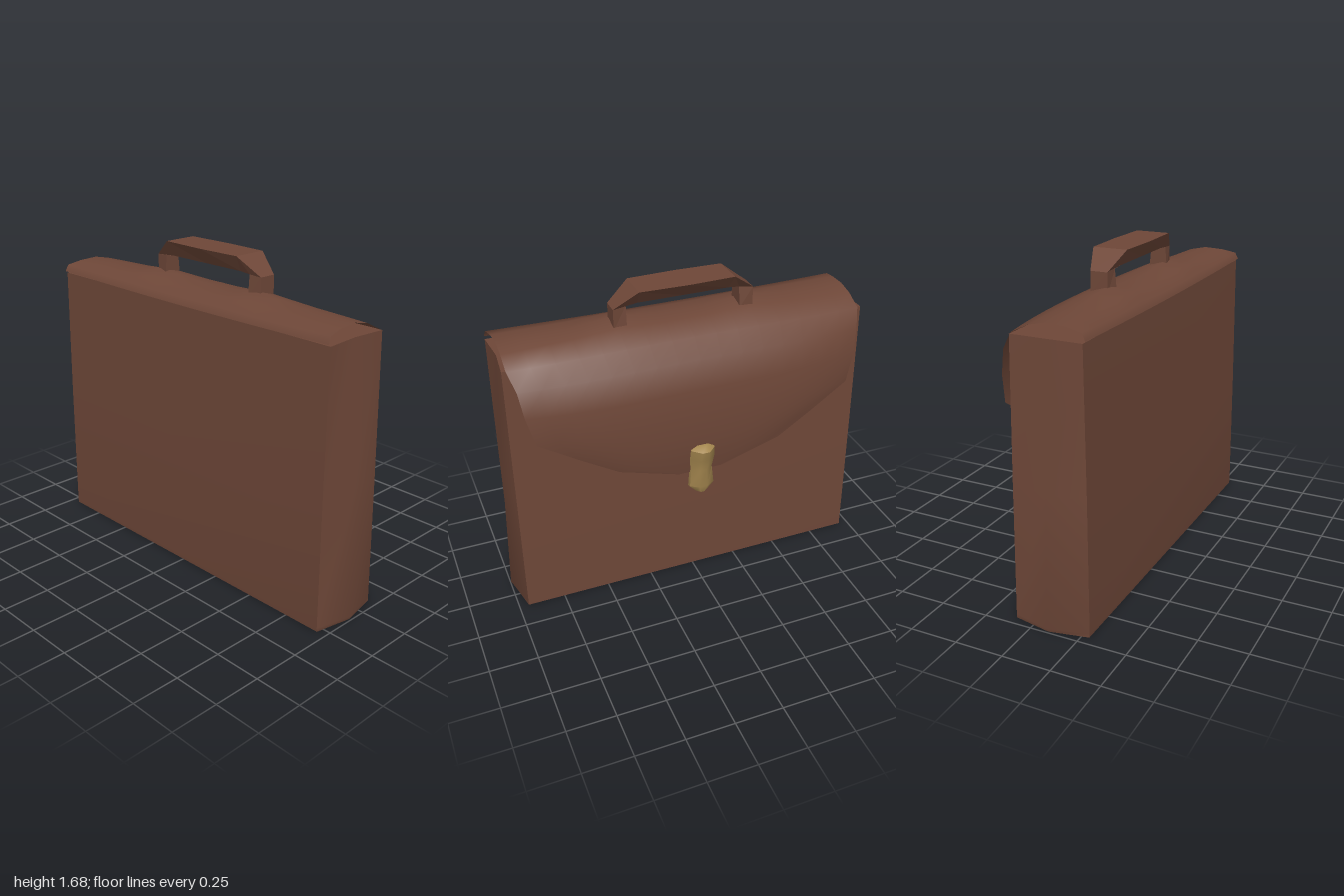
import * as THREE from 'three';
import { toCreasedNormals } from 'three/addons/utils/BufferGeometryUtils.js';

// Skin a list of cross-sections; closed rings can get end caps
function loft(rings, { closed = true, crease = 0.8 } = {}) {
  const pos = [];
  const tri = (a, b, c) => pos.push(...a, ...b, ...c);
  const n = rings[0].length;
  for (let i = 0; i < rings.length - 1; i++) {
    for (let j = 0; j < (closed ? n : n - 1); j++) {
      const k = (j + 1) % n;
      const [a, b, c, d] = [rings[i][j], rings[i][k], rings[i + 1][k], rings[i + 1][j]];
      tri(a, b, c);
      tri(a, c, d);
    }
  }
  if (closed) {
    const first = rings[0], last = rings[rings.length - 1];
    for (let j = 1; j < n - 1; j++) {
      tri(first[0], first[j + 1], first[j]);
      tri(last[0], last[j], last[j + 1]);
    }
  }
  const geo = new THREE.BufferGeometry();
  geo.setAttribute('position', new THREE.Float32BufferAttribute(pos, 3));
  geo.computeVertexNormals();
  return crease > 0 ? toCreasedNormals(geo, crease) : geo;
}

export function createModel() {
  const group = new THREE.Group();
  const leather = new THREE.MeshStandardMaterial({ color: 0x6e4738, side: THREE.DoubleSide });
  leather.name = 'brown leather';
  const brass = new THREE.MeshStandardMaterial({ color: 0xa5874f });
  brass.name = 'brass';
  const add = (name, geo, mat) => {
    const mesh = new THREE.Mesh(geo, mat);
    mesh.name = name;
    group.add(mesh);
  };

  // Body: six-sided section with gussets that bulge toward the bottom
  // rows: y, gusset half width, front z, back z
  const bodyRows = [
    [0, 0.99, 0.288, -0.105],
    [0.02, 1.0, 0.29, -0.105],
    [0.7, 0.975, 0.285, -0.097],
    [1.42, 0.935, 0.275, -0.085],
  ];
  add('body', loft(bodyRows.map(([y, g, f, b]) => [
    [-0.95, y, f], [0.95, y, f], [g, y, 0.09],
    [0.95, y, b], [-0.95, y, b], [-g, y, 0.09],
  ])), leather);

  // Flap: one sheet hinged at the front, over the top and down the back
  // rows: z, y, half width, end shift in z, end shift in y, swell at the handle
  const flapRows = [
    [0.287, 1.42, 0.95, 0, 0.01, 0],
    [0.27, 1.455, 0.945, 0, 0.01, 0],
    [0.19, 1.48, 0.935, 0, 0, 0.01],
    [0.09, 1.495, 0.93, 0, -0.01, 0.025],
    [0, 1.485, 0.93, 0, -0.02, 0.01],
    [-0.12, 1.44, 0.93, 0.03, -0.02, 0],
    [-0.2, 1.35, 0.9, 0.05, -0.02, 0],
    [-0.23, 1.2, 0.88, 0.055, 0, 0],
    [-0.24, 1.05, 0.84, 0.05, 0, 0],
    [-0.238, 0.92, 0.63, 0.035, 0, 0],
    [-0.23, 0.81, 0.44, 0.015, 0, 0],
    [-0.212, 0.71, 0.12, 0, 0, 0],
  ];
  const columns = 16;
  add('flap', loft(flapRows.map(([z, y, w, dz, dy, swell]) =>
    Array.from({ length: columns + 1 }, (_, i) => {
      const u = (2 * i) / columns - 1;
      const bump = swell * Math.max(0, 1 - Math.abs(Math.abs(u) - 0.375) / 0.25);
      return [w * u, y + dy * u * u + bump, z + dz * u ** 4];
    })), { closed: false, crease: 1.0 }), leather);

  // Handle: faceted strap, wide on the outside and narrow inside
  // half: outer x, outer y, inner x, inner y, outer half depth, inner half depth
  const half = [
    [0.37, 1.48, 0.3, 1.48, 0.045, 0.05],
    [0.37, 1.59, 0.3, 1.595, 0.045, 0.04],
    [0.25, 1.68, 0.24, 1.6, 0.09, 0.04],
    [0, 1.68, 0, 1.6, 0.098, 0.04],
  ];
  const mirrored = (s) => ([ox, oy, ix, iy, od, id]) => [
    [s * ox, oy, 0.055 - od], [s * ox, oy, 0.055 + od],
    [s * ix, iy, 0.065 + id], [s * ix, iy, 0.065 - id],
  ];
  const handleRings = [...half.map(mirrored(-1)), ...half.slice(0, 3).reverse().map(mirrored(1))];
  add('handle', loft(handleRings, { crease: 0 }), leather);

  // Clasp: small ridged brass catch at the tip of the flap
  // rows: y, half width, inner z, ridge z
  const claspRows = [
    [0.59, 0.03, -0.215, -0.245],
    [0.63, 0.07, -0.212, -0.255],
    [0.73, 0.06, -0.205, -0.252],
    [0.8, 0.07, -0.21, -0.272],
    [0.86, 0.065, -0.22, -0.287],
    [0.88, 0.03, -0.232, -0.255],
  ];
  add('clasp', loft(claspRows.map(([y, w, f, b]) => [
    [-w, y, f], [w, y, f], [w * 0.95, y, f * 0.6 + b * 0.4], [w * 0.3, y, b],
    [-w * 0.3, y, b], [-w * 0.95, y, f * 0.6 + b * 0.4],
  ]), { crease: 0.9 }), brass);

  return group;
}
